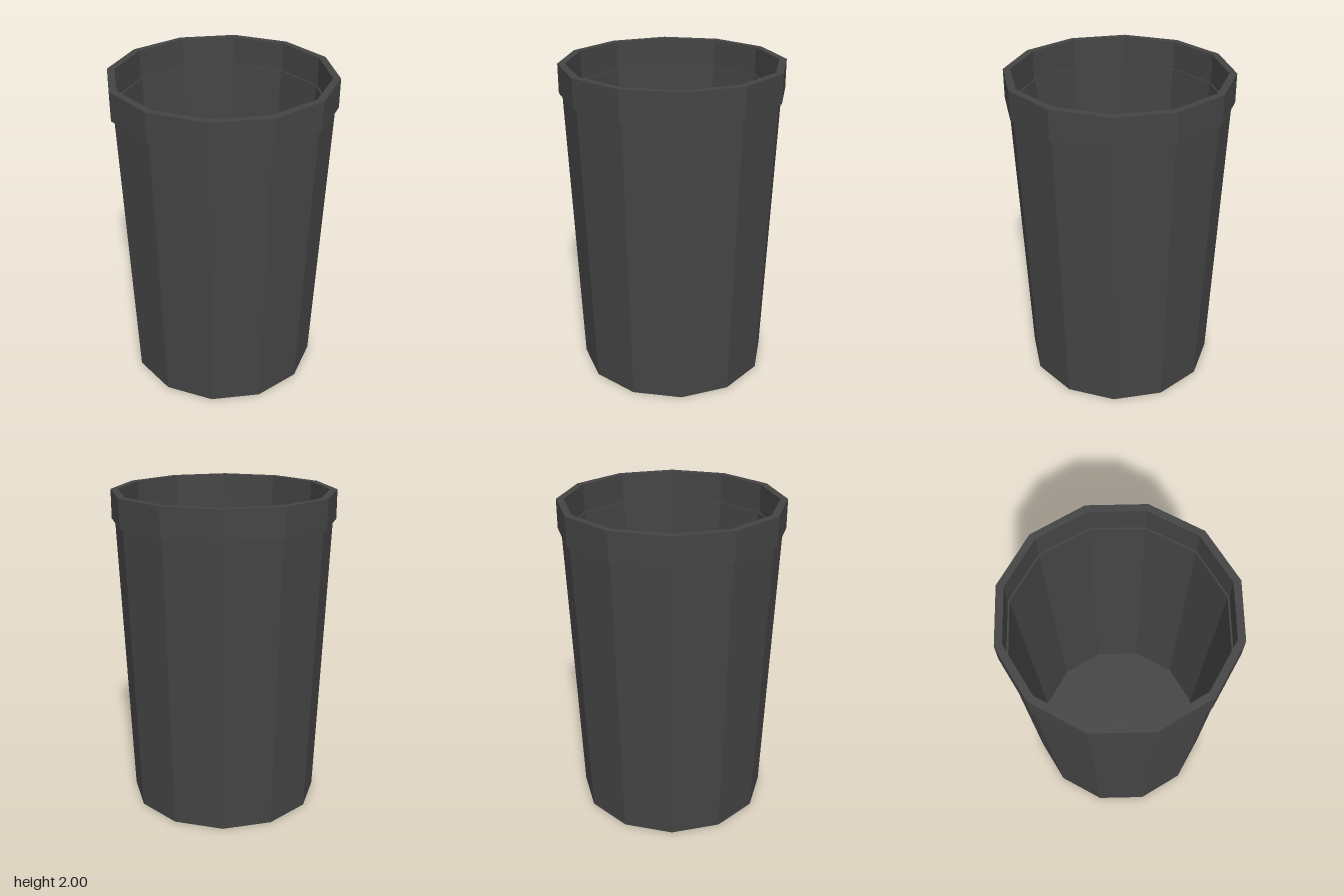
import * as THREE from 'three';

const SIDES = 12;

// Faceted solid of revolution; the profile runs up the outside and down the inside
function lathe(name, profile, material) {
  const points = profile.map(([r, y]) => new THREE.Vector2(r, y));
  const mesh = new THREE.Mesh(new THREE.LatheGeometry(points, SIDES), material);
  mesh.name = name;
  return mesh;
}

export function createModel() {
  const model = new THREE.Group();
  model.name = 'wasteBin';
  const material = new THREE.MeshStandardMaterial({ color: 0x444444, flatShading: true });

  // Tapered hollow body with a thin floor
  model.add(lathe('body', [
    [0, 0], [0.6, 0], [0.67, 1.82],
    [0.635, 1.82], [0.56, 0.04], [0, 0.04],
  ], material));

  // Straight collar overhanging the top of the body
  model.add(lathe('rim', [
    [0.67, 1.82], [0.69, 1.82], [0.69, 2],
    [0.645, 2], [0.645, 1.82],
  ], material));

  return model;
}
